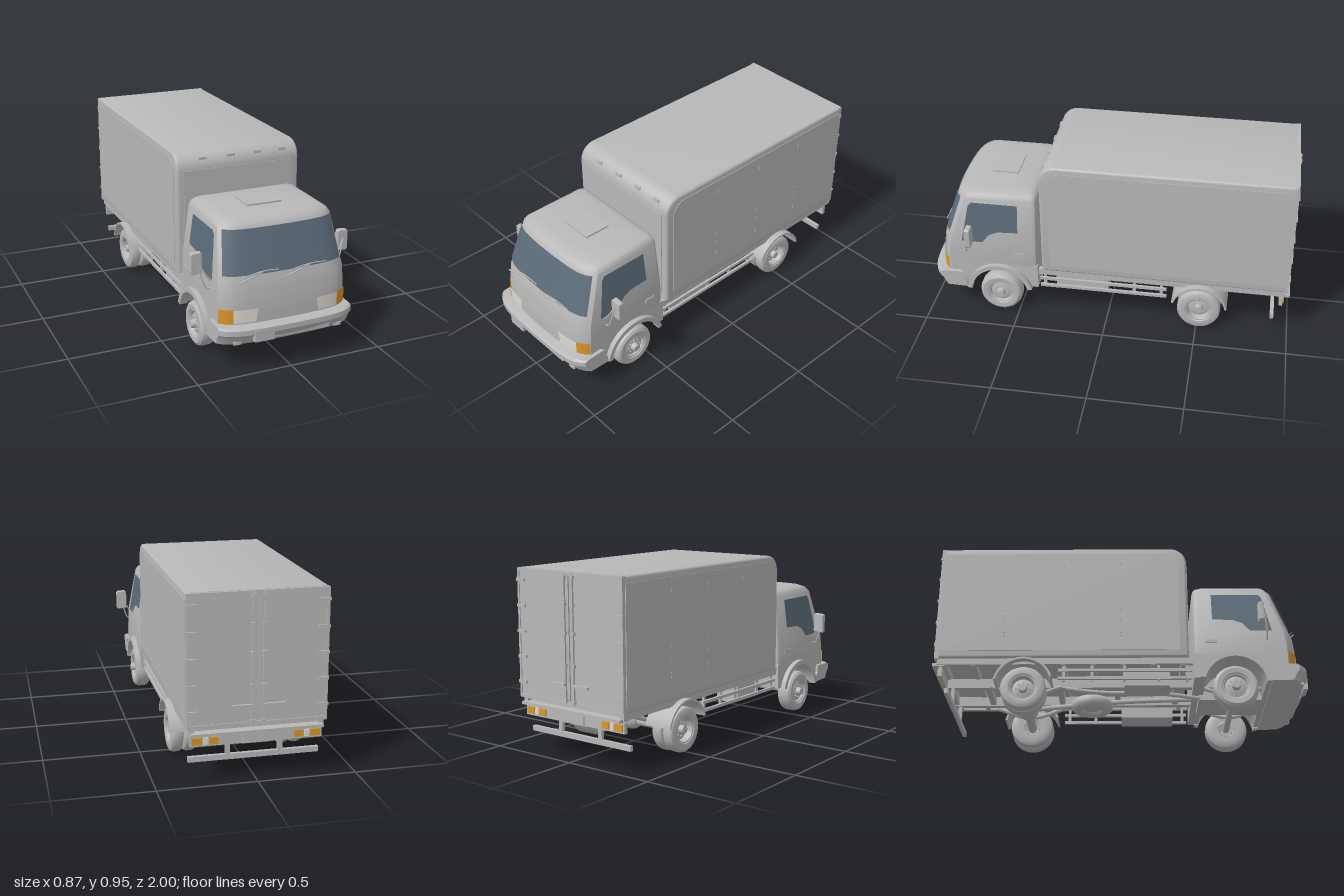
import * as THREE from 'three';
import { toCreasedNormals } from 'three/addons/utils/BufferGeometryUtils.js';

const mat = (name, color) => Object.assign(
  new THREE.MeshStandardMaterial({ color, side: THREE.DoubleSide }), { name });

export function createModel() {
  const truck = new THREE.Group();
  truck.name = 'boxTruck';
  const grey = mat('bodyGrey', 0xb8b8b8), glass = mat('glass', 0x5c6c7a);
  const amber = mat('amberLamp', 0xd9962a), lamp = mat('headlampWhite', 0xdedbd0);

  const add = (name, geo, m = grey, parent = truck) => {
    const mesh = new THREE.Mesh(geo, m);
    mesh.name = name;
    parent.add(mesh);
    return mesh;
  };
  // box given by its minimum and maximum corners
  const block = (name, x0, x1, y0, y1, z0, z1, m = grey) => add(name,
    new THREE.BoxGeometry(x1 - x0, y1 - y0, z1 - z0), m)
    .position.set((x0 + x1) / 2, (y0 + y1) / 2, (z0 + z1) / 2);
  const pair = (name, x0, x1, ...rest) => {
    block(name, x0, x1, ...rest);
    block(name, -x1, -x0, ...rest);
  };
  const tube = (name, r, ...pts) => add(name, new THREE.TubeGeometry(
    new THREE.CatmullRomCurve3(pts.map(p => new THREE.Vector3(...p))), 12, r, 8));
  const rodX = (name, r, x0, x1, y, z) => {
    const m = add(name, new THREE.CylinderGeometry(r, r, x1 - x0, 20));
    m.rotation.z = Math.PI / 2;
    m.position.set((x0 + x1) / 2, y, z);
  };
  // side outline (z, y) extruded across x0..x1
  const outline = pts => new THREE.Shape(pts.map(p => new THREE.Vector2(...p)));
  const slab = (shape, x0, x1, steps = 1, bevel = 0) => new THREE.ExtrudeGeometry(shape, {
    depth: x1 - x0 - 2 * bevel, steps, curveSegments: 20, bevelEnabled: bevel > 0,
    bevelSize: bevel, bevelThickness: bevel, bevelOffset: -bevel, bevelSegments: 3,
  }).rotateY(-Math.PI / 2).translate(x1 - bevel, 0, 0);

  // ---- Cab: plan rings [y, front z, back z, half width] ----
  const rings = [[0.31, 0.945, 0.385, 0.345], [0.36, 0.942, 0.385, 0.345], [0.44, 0.932, 0.385, 0.342],
    [0.70, 0.845, 0.388, 0.307], [0.722, 0.828, 0.395, 0.295], [0.736, 0.795, 0.41, 0.275],
    [0.743, 0.74, 0.44, 0.235]];
  const bow = t => 0.02 * t * t + 0.045 * Math.pow(t, 8);
  const section = y => {
    if (y <= rings[0][0]) return rings[0];
    const i = Math.max(1, rings.findIndex(r => r[0] >= y));
    const a = rings[i - 1], b = rings[i], k = (y - a[0]) / (b[0] - a[0]);
    return a.map((v, j) => v + (b[j] - v) * k);
  };
  const pos = [], idx = [], N = 24;
  for (const [y, zf, zb, w] of rings) {
    for (let i = 0; i <= N; i++) {
      const t = Math.sin((i / N - 0.5) * Math.PI);
      pos.push(w * t, y, zf - bow(t));
    }
    for (const [x, z] of [[w, zb + 0.03], [w - 0.009, zb + 0.009], [w - 0.03, zb],
      [0.03 - w, zb], [0.009 - w, zb + 0.009], [-w, zb + 0.03]]) pos.push(x, y, z);
  }
  const n = N + 7, top = rings.length * n;
  pos.push(0, 0.745, 0.6);
  for (let i = 0; i < n; i++) {
    const k = (i + 1) % n;
    for (let j = 0; j < rings.length - 1; j++) {
      const a = j * n + i, b = j * n + k;
      idx.push(a, b, b + n, a, b + n, a + n);
    }
    idx.push(top, top - n + i, top - n + k);
  }
  const cabGeo = new THREE.BufferGeometry();
  cabGeo.setAttribute('position', new THREE.Float32BufferAttribute(pos, 3));
  cabGeo.setIndex(idx);
  add('cabShell', toCreasedNormals(cabGeo, 0.6));

  // lower cab with wheel arch, and bumper, both bowed at the front
  const bowFront = (geo, hw) => {
    const p = geo.attributes.position;
    for (let i = 0; i < p.count; i++) {
      const k = THREE.MathUtils.smoothstep(p.getZ(i), 0.78, 0.9);
      p.setZ(i, p.getZ(i) - k * bow(p.getX(i) / hw));
    }
    return toCreasedNormals(geo, 0.5);
  };
  const lower = new THREE.Shape();
  lower.moveTo(0.385, 0.17);
  lower.lineTo(0.443, 0.17);
  lower.absarc(0.6, 0.12, 0.165, Math.PI - 0.308, 0.183, true);
  for (const p of [[0.9, 0.15], [0.945, 0.2], [0.945, 0.31], [0.385, 0.31]]) lower.lineTo(...p);
  add('cabLower', bowFront(slab(lower, -0.345, 0.345, 28), 0.345));
  add('frontBumper', bowFront(slab(outline([[0.79, 0.145], [0.965, 0.148], [0.985, 0.19], [1, 0.205],
    [1, 0.232], [0.985, 0.24], [0.85, 0.243], [0.84, 0.2], [0.79, 0.18]]), -0.365, 0.365, 28), 0.365));

  // thin plates following the cab's front: lower edge, then upper edge, as [left, right, y]
  const patch = (name, [l0, r0, y0], [l1, r1, y1], m, lift = 0.006) => {
    const g = new THREE.PlaneGeometry(1, 1, 20, 6), p = g.attributes.position;
    for (let i = 0; i < p.count; i++) {
      const u = p.getX(i) + 0.5, v = p.getY(i) + 0.5, y = y0 + (y1 - y0) * v;
      const [, zf, , w] = section(y);
      const t = (l0 + (r0 - l0) * u) * (1 - v) + (l1 + (r1 - l1) * u) * v;
      p.setXYZ(i, t * w * 1.008, y, zf - bow(t) + lift);
    }
    g.computeVertexNormals();
    add(name, g, m);
  };
  patch('windscreen', [-0.95, 0.95, 0.485], [-0.95, 0.95, 0.697], glass);
  patch('frontPanel', [-0.82, 0.82, 0.33], [-0.84, 0.84, 0.45], grey, 0.004);
  patch('grille', [-0.46, 0.46, 0.25], [-0.4, 0.4, 0.315], grey, 0.003);
  patch('grilleTopBar', [-0.4, 0.4, 0.307], [-0.4, 0.4, 0.315], grey, 0.009);
  patch('grilleBottomBar', [-0.46, 0.46, 0.25], [-0.45, 0.45, 0.256], grey, 0.009);
  for (const s of [1, -1]) {
    patch('headlamp', [s * 0.49, s * 0.82, 0.25], [s * 0.46, s * 0.82, 0.318], lamp);
    patch('turnSignal', [s * 0.82, s, 0.247], [s * 0.82, s, 0.322], amber);
    // side window
    const win = new THREE.ShapeGeometry(outline([[0.805, 0.442], [0.762, 0.655], [0.745, 0.675],
      [0.49, 0.675], [0.49, 0.515], [0.6, 0.51], [0.65, 0.49], [0.69, 0.442]]));
    const p = win.attributes.position;
    for (let i = 0; i < p.count; i++)
      p.setXYZ(i, s * (section(p.getY(i))[3] + 0.003), p.getY(i), p.getX(i));
    win.computeVertexNormals();
    add('sideWindow', win, glass);
    // wheel-arch lip
    const lip = new THREE.Shape();
    lip.absarc(0.6, 0.12, 0.188, 0.12, Math.PI - 0.25, false);
    lip.absarc(0.6, 0.12, 0.163, Math.PI - 0.25, 0.12, true);
    add('frontArchLip', toCreasedNormals(slab(lip, s > 0 ? 0.33 : -0.372, s > 0 ? 0.372 : -0.33), 0.5));
    // mirror on two arms
    const mirror = outline([[0.378, 0.465], [0.43, 0.46], [0.436, 0.47], [0.436, 0.565],
      [0.428, 0.572], [0.384, 0.575], [0.376, 0.565], [0.374, 0.475]]);
    const mg = new THREE.ExtrudeGeometry(mirror, { depth: 0.018, bevelSize: 0.004,
      bevelThickness: 0.006, bevelOffset: -0.004, bevelSegments: 2 }).translate(0, 0, 0.735);
    add('mirror', mg).scale.x = s;
    tube('mirrorArm', 0.004, [s * 0.342, 0.43, 0.78], [s * 0.365, 0.46, 0.78], [s * 0.405, 0.53, 0.765]);
    tube('mirrorArm', 0.004, [s * 0.342, 0.39, 0.775], [s * 0.362, 0.39, 0.775], [s * 0.408, 0.53, 0.765]);
  }
  for (const x of [-0.25, 0.01]) {
    tube('wiper', 0.004, [x - 0.02, 0.455, 0.932], [x + 0.03, 0.468, 0.932], [x + 0.12, 0.495, 0.922]);
    tube('wiperBlade', 0.003, [x + 0.01, 0.482, 0.926], [x + 0.12, 0.497, 0.921], [x + 0.21, 0.494, 0.919]);
  }
  pair('doorHandle', 0.34, 0.349, 0.37, 0.388, 0.45, 0.51);
  block('roofHatch', -0.1, 0.09, 0.735, 0.752, 0.53, 0.675);
  block('numberPlate', -0.2, -0.095, 0.165, 0.225, 0.975, 0.999);
  block('bumperIntake', -0.09, 0.22, 0.16, 0.19, 0.95, 0.974);
  pair('fogLamp', 0.255, 0.295, 0.15, 0.165, 0.93, 0.962);

  // ---- Cargo box ----
  const sidePanel = (z0, z1, y0, y1, r) => {
    const s = new THREE.Shape();
    s.moveTo(z0, y0);
    s.lineTo(z1, y0);
    s.lineTo(z1, y1 - r);
    s.absarc(z1 - r, y1 - r, r, 0, Math.PI / 2, false);
    s.lineTo(z0, y1);
    return s;
  };
  add('cargoBox', toCreasedNormals(slab(sidePanel(-0.972, 0.36, 0.29, 0.95, 0.09), -0.348, 0.348, 1, 0.014), 0.6));
  for (const x of [-0.351, 0.347])
    add('cargoSidePanel', slab(sidePanel(-0.965, 0.315, 0.33, 0.915, 0.08), x, x + 0.004));
  block('cargoFrontPanel', -0.31, 0.31, 0.33, 0.858, 0.355, 0.364);
  for (const x of [-0.2, -0.04, 0.11, 0.255]) block('markerLamp', x - 0.02, x + 0.02, 0.905, 0.92, 0.32, 0.35);
  for (const z of [0, -0.31, -0.62]) for (const y of [0.415, 0.435, 0.51, 0.57, 0.84, 0.855])
    pair('panelRivet', 0.35, 0.354, y - 0.004, y + 0.004, z - 0.004, z + 0.004);
  // rear doors, hinges and lock rods
  pair('rearDoor', 0.004, 0.335, 0.305, 0.93, -0.98, -0.965);
  block('rearHeader', -0.345, 0.345, 0.93, 0.948, -0.985, -0.96);
  block('rearSill', -0.345, 0.345, 0.285, 0.305, -0.985, -0.96);
  pair('rearPost', 0.335, 0.347, 0.29, 0.945, -0.985, -0.96);
  for (const y of [0.36, 0.49, 0.62, 0.75, 0.88]) pair('doorHinge', 0.295, 0.35, y, y + 0.016, -0.99, -0.975);
  pair('lockRod', 0.022, 0.032, 0.29, 0.94, -0.99, -0.979);
  for (const y of [0.3, 0.48, 0.64, 0.78, 0.915]) pair('lockBracket', 0.016, 0.04, y, y + 0.016, -0.994, -0.975);
  pair('lockHandle', 0.025, 0.13, 0.385, 0.397, -1, -0.987);

  // ---- Chassis ----
  pair('frameRail', 0.11, 0.145, 0.2, 0.255, -0.95, 0.85);
  pair('boxSill', 0.31, 0.335, 0.255, 0.29, -0.97, 0.38);
  for (let i = 0; i < 9; i++) {
    const z = 0.33 - i * 0.158;
    block('crossBeam', -0.33, 0.33, 0.252, 0.29, z - 0.012, z + 0.012);
  }
  for (const z of [0.3, -0.02, -0.33, -0.72, -0.93]) block('frameCrossMember', -0.13, 0.13, 0.205, 0.245, z - 0.015, z + 0.015);
  for (const y of [0.17, 0.215]) pair('sideGuard', 0.318, 0.332, y, y + 0.016, -0.33, 0.375);
  for (const z of [0.35, 0.2, 0.02, -0.15, -0.3]) pair('guardPost', 0.308, 0.32, 0.165, 0.27, z - 0.008, z + 0.008);
  block('fuelTank', 0.16, 0.3, 0.145, 0.24, 0.0, 0.29);
  block('batteryBox', -0.29, -0.17, 0.15, 0.24, 0.02, 0.26);
  block('engine', -0.11, 0.11, 0.14, 0.3, 0.42, 0.76);
  tube('driveShaft', 0.014, [0, 0.19, 0.42], [0, 0.175, 0], [0, 0.13, -0.5]);
  tube('exhaust', 0.012, [-0.08, 0.15, 0.5], [-0.16, 0.16, 0.2], [-0.17, 0.16, -0.1], [-0.18, 0.18, -0.3]);
  // spare wheel lying flat under the frame
  const spare = add('spareWheel', new THREE.TorusGeometry(0.08, 0.036, 12, 32));
  spare.rotation.x = Math.PI / 2;
  spare.position.set(0.02, 0.158, -0.16);
  add('spareRim', new THREE.CylinderGeometry(0.06, 0.06, 0.03, 24)).position.set(0.02, 0.158, -0.16);
  // axles and springs
  rodX('frontAxle', 0.018, -0.3, 0.3, 0.12, 0.6);
  rodX('rearAxle', 0.025, -0.3, 0.3, 0.12, -0.51);
  const diff = add('differential', new THREE.SphereGeometry(0.055, 20, 14));
  diff.position.set(0, 0.125, -0.51);
  for (const s of [1, -1]) for (const z of [0.6, -0.51])
    tube('leafSpring', 0.012, [s * 0.16, 0.2, z + 0.19], [s * 0.16, 0.145, z], [s * 0.16, 0.2, z - 0.19]);
  // rear lamp board and underrun bar
  block('rearLampBoard', -0.33, 0.33, 0.19, 0.245, -0.96, -0.94);
  for (const [a, b, m] of [[0.19, 0.235, amber], [0.24, 0.265, lamp], [0.27, 0.32, amber]])
    pair('tailLamp', a, b, 0.2, 0.235, -0.967, -0.959, m);
  block('rearPlate', -0.07, 0.07, 0.19, 0.24, -0.966, -0.958);
  block('rearStep', -0.33, 0.33, 0.25, 0.265, -0.995, -0.93);
  block('underrunBar', -0.33, 0.33, 0.095, 0.122, -0.92, -0.9);
  pair('underrunPost', 0.12, 0.145, 0.1, 0.22, -0.918, -0.9);

  // ---- Wheels: [radius, offset along axle] profile, outer side positive ----
  const wheel = (name, x, z, s, width, dish) => {
    const h = width / 2, g = new THREE.Group();
    g.name = name;
    const prof = [[0.05, -h], [0.07, -h], [0.1, -h], [0.113, -h * 0.8], [0.119, -h * 0.45], [0.119, h * 0.45],
      [0.113, h * 0.8], [0.1, h], [0.074, h * 0.95], [0.07, h * 0.82], [0.064, h * 0.8],
      [0.058, h * 0.8 - dish], [0.03, h * 0.8 - dish + 0.008], [0.0, h * 0.8 - dish + 0.008]];
    add('tyreAndRim', toCreasedNormals(new THREE.LatheGeometry(
      prof.map(p => new THREE.Vector2(...p)), 36), 0.6), grey, g);
    const face = h * 0.8 - dish;
    add('hub', new THREE.CylinderGeometry(0.02, 0.026, 0.04, 16), grey, g).position.y = face + 0.015;
    for (let i = 0; i < 8; i++) {
      const a = i * Math.PI / 4;
      add('wheelNut', new THREE.CylinderGeometry(0.004, 0.004, 0.02, 6), grey, g)
        .position.set(0.036 * Math.cos(a), face + 0.005, 0.036 * Math.sin(a));
    }
    g.rotation.z = -s * Math.PI / 2;
    g.position.set(x * s, 0.119, z);
    truck.add(g);
  };
  for (const s of [1, -1]) {
    wheel('frontWheel', 0.318, 0.6, s, 0.088, 0.012);
    wheel('rearOuterWheel', 0.322, -0.51, s, 0.066, 0.035);
    wheel('rearInnerWheel', 0.253, -0.51, s, 0.066, 0.015);
    const mud = new THREE.Shape();
    mud.absarc(-0.51, 0.125, 0.157, 0.3, Math.PI - 0.2, false);
    mud.absarc(-0.51, 0.125, 0.146, Math.PI - 0.2, 0.3, true);
    add('rearMudguard', toCreasedNormals(slab(mud, s > 0 ? 0.215 : -0.372, s > 0 ? 0.372 : -0.215), 0.5));
  }
  return truck;
}
